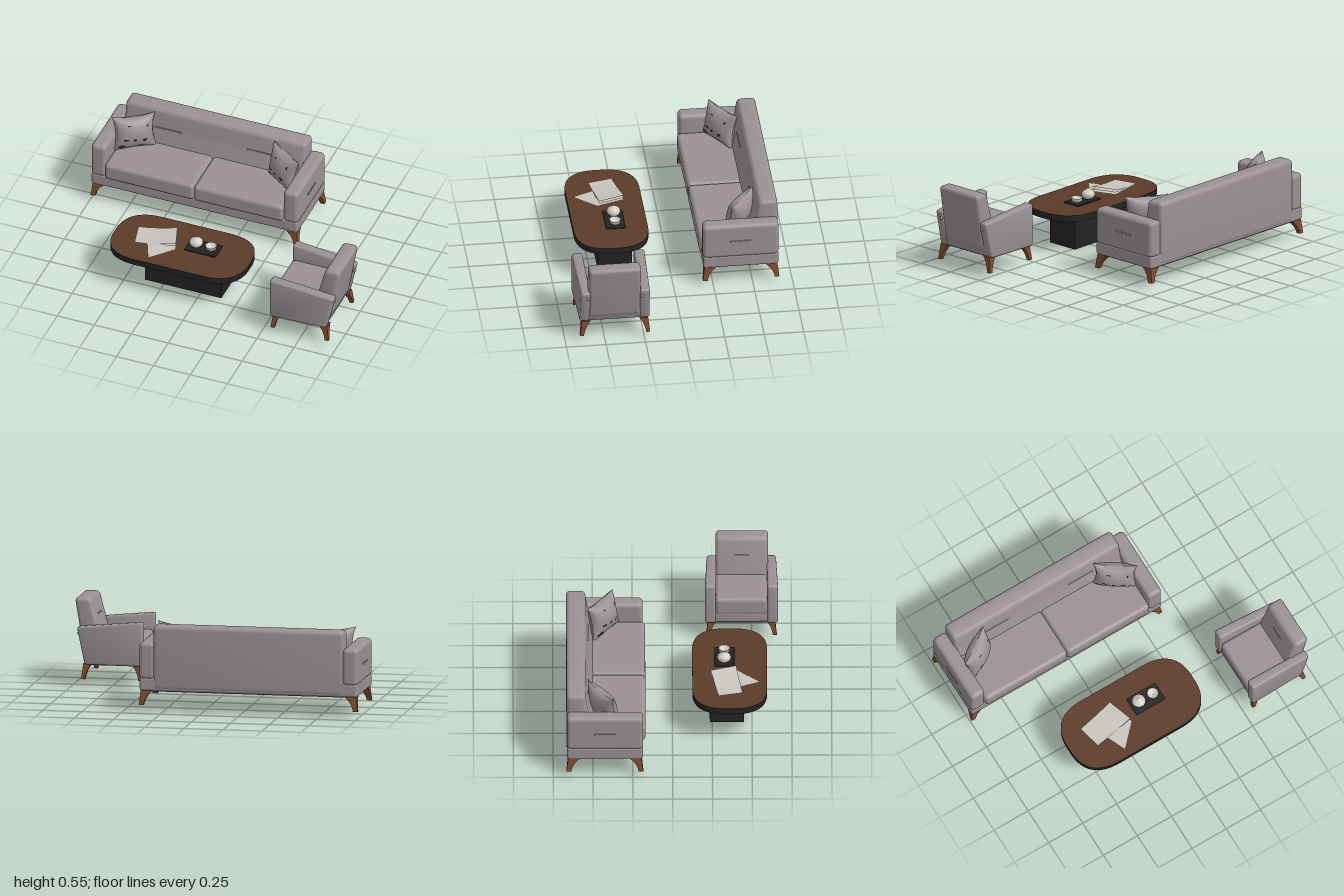
import * as THREE from 'three';
import { toCreasedNormals } from 'three/addons/utils/BufferGeometryUtils.js';
import { RoundedBoxGeometry } from 'three/addons/geometries/RoundedBoxGeometry.js';

const flat = (name, color, side = THREE.FrontSide) => {
  const m = new THREE.MeshStandardMaterial({ color, side });
  m.name = name;
  return m;
};
const fabric = flat('grey fabric', 0x9a9195);
const lining = flat('underside lining', 0x62605f);
const legWood = flat('leg wood', 0x7d4c2e);
const tableWood = flat('table wood', 0x5c3b28);
const black = flat('black', 0x232323);
const paper = flat('paper', 0xc9c5be, THREE.DoubleSide);
const ceramic = flat('ceramic', 0xd3cec5, THREE.DoubleSide);

function add(parent, name, geometry, material, x = 0, y = 0, z = 0) {
  const mesh = new THREE.Mesh(geometry, material);
  mesh.name = name;
  mesh.position.set(x, y, z);
  parent.add(mesh);
}

// Rounded box given by its extents
function block(parent, name, [x0, x1], [y0, y1], [z0, z1], r, material = fabric) {
  const g = new RoundedBoxGeometry(x1 - x0, y1 - y0, z1 - z0, 4, r);
  add(parent, name, g, material, (x0 + x1) / 2, (y0 + y1) / 2, (z0 + z1) / 2);
}

// Side profile extruded along z from z0 to z1, with softened edges
function profileGeometry(points, z0, z1, bevel, corner) {
  const pts = points.map(p => new THREE.Vector2(...p));
  const shape = new THREE.Shape();
  pts.forEach((p, i) => {
    const prev = pts.at(i - 1), next = pts[(i + 1) % pts.length];
    const a = prev.clone().sub(p).setLength(corner).add(p);
    const b = next.clone().sub(p).setLength(corner).add(p);
    if (i) shape.lineTo(a.x, a.y);
    else shape.moveTo(a.x, a.y);
    shape.quadraticCurveTo(p.x, p.y, b.x, b.y);
  });
  shape.closePath();
  const g = new THREE.ExtrudeGeometry(shape, {
    depth: z1 - z0 - 2 * bevel, bevelThickness: bevel, bevelSize: bevel,
    bevelOffset: -bevel, bevelSegments: 4, curveSegments: 6,
  });
  g.translate(0, 0, z0 + bevel);
  return toCreasedNormals(g, 0.7);
}

// Curved, tapering leg whose outer corner sits at (x, z); sx, sz point inward
function leg(parent, name, x, z, sx, sz, topSize, footSize) {
  const g = new THREE.BoxGeometry(1, 0.1, 1, 1, 8, 1);
  const p = g.attributes.position;
  for (let i = 0; i < p.count; i++) {
    const t = THREE.MathUtils.clamp(p.getY(i) / 0.1 + 0.5, 0, 1);
    const w = footSize + (topSize - footSize) * t ** 2.2;
    p.setX(i, sx * (0.012 * t + w / 2) + p.getX(i) * w);
    p.setZ(i, sz * (0.012 * t + w / 2) + p.getZ(i) * w);
  }
  g.computeVertexNormals();
  add(parent, name, g, legWood, x, 0.09, z);
}

// Dark patches on the pillow front: u, v, half width, half height
const patches = [
  [-0.7, -0.75, 0.2, 0.1], [-0.05, -0.35, 0.1, 0.09], [0.45, -0.4, 0.13, 0.08],
  [-0.5, -0.3, 0.12, 0.08], [0.25, -0.8, 0.16, 0.08], [-0.3, 0.6, 0.1, 0.05],
  [0.65, 0.45, 0.06, 0.1],
];
const isDark = (u, v) => patches.some(([a, b, w, h]) => ((u - a) / w) ** 2 + ((v - b) / h) ** 2 < 1);

// Plump half of a throw pillow with pinched edges
function pillowHalf() {
  const g = new THREE.PlaneGeometry(2, 2, 32, 32);
  const p = g.attributes.position;
  const plain = [], dark = [];
  for (let i = 0; i < g.index.count; i += 6) {
    const quad = Array.from(g.index.array.slice(i, i + 6));
    const u = quad.reduce((s, k) => s + p.getX(k), 0) / 6;
    const v = quad.reduce((s, k) => s + p.getY(k), 0) / 6;
    (isDark(u, v) ? dark : plain).push(...quad);
  }
  for (let i = 0; i < p.count; i++) {
    const u = p.getX(i), v = p.getY(i);
    const puff = Math.sqrt(Math.max(0, (1 - u * u) * (1 - v * v)));
    p.setXYZ(i, 0.14 * u * (1 - 0.14 * (1 - v * v)), 0.118 * v * (1 - 0.14 * (1 - u * u)), 0.065 * puff);
  }
  g.setIndex([...plain, ...dark]);
  g.addGroup(0, plain.length, 0);
  g.addGroup(plain.length, dark.length, 1);
  g.computeVertexNormals();
  return g;
}

function buildSofa() {
  const sofa = new THREE.Group();
  sofa.name = 'sofa';
  const cx = -0.297;
  block(sofa, 'sofaBase', [-0.995, 0.4], [0.13, 0.215], [-0.663, -0.187], 0.015);
  add(sofa, 'sofaUnderside', new THREE.BoxGeometry(1.36, 0.004, 0.45), lining, cx, 0.129, -0.425);
  // Backrest, its profile leaning back
  const back = profileGeometry([[0.667, 0.135], [0.667, 0.547], [0.55, 0.547], [0.53, 0.42], [0.49, 0.28], [0.49, 0.135]],
    -0.61, 0.61, 0.025, 0.03);
  add(sofa, 'sofaBackrest', back.rotateY(Math.PI / 2), fabric, cx);
  for (const s of [-1, 1]) {
    const side = s < 0 ? 'Right' : 'Left';
    // Arms with a stitched ridge outside
    const x = [cx + s * 0.7, cx + s * 0.6].sort((a, b) => a - b);
    block(sofa, 'sofaArm' + side, x, [0.2, 0.437], [-0.664, -0.185], 0.027);
    block(sofa, 'armSeam' + side, [cx + s * 0.7 - 0.004, cx + s * 0.7 + 0.004], [0.314, 0.325], [-0.49, -0.355], 0.003);
    // Seat cushions
    const c = [cx, cx + s * 0.603].sort((a, b) => a - b);
    block(sofa, 'seatCushion' + side, c, [0.2, 0.317], [-0.53, -0.17], 0.026);
    block(sofa, 'backSeam' + side, [cx + s * 0.31 - 0.09, cx + s * 0.31 + 0.09], [0.415, 0.423], [-0.535, -0.526], 0.003);
    for (const [end, z, sz] of [['Front', -0.184, -1], ['Back', -0.667, 1]]) {
      leg(sofa, `sofaLeg${end}${side}`, cx + s * 0.7, z, -s, sz, 0.085, 0.03);
    }
    // Throw pillows turned in from the corners
    const pillow = new THREE.Group();
    pillow.name = 'throwPillow' + side;
    add(pillow, 'pillowFront', pillowHalf(), [fabric, black]);
    add(pillow, 'pillowBack', pillowHalf().rotateY(Math.PI), fabric);
    pillow.position.set(cx + s * 0.505, 0.42, -0.435);
    pillow.rotation.set(-0.2, -s * 0.6, 0, 'YXZ');
    sofa.add(pillow);
  }
  return sofa;
}

function buildArmchair() {
  const chair = new THREE.Group();
  chair.name = 'armchair';
  const cz = 0.436;
  add(chair, 'chairBase', profileGeometry([[0.56, 0.133], [0.92, 0.133], [0.94, 0.22], [0.56, 0.22]], 0.24, 0.63, 0.01, 0.015), fabric);
  block(chair, 'chairSeat', [0.553, 0.87], [0.19, 0.31], [0.272, 0.6], 0.025);
  add(chair, 'chairUnderside', new THREE.BoxGeometry(0.34, 0.004, 0.4), lining, 0.735, 0.131, cz);
  // Tilted backrest with a stitched ridge on its front
  const back = profileGeometry([[0.80, 0.165], [0.935, 0.165], [1.0, 0.547], [0.9, 0.547]], 0.275, 0.604, 0.022, 0.03);
  add(chair, 'chairBackrest', back, fabric);
  block(chair, 'chairBackSeam', [0.867, 0.878], [0.43, 0.438], [0.39, 0.48], 0.003);
  for (const s of [-1, 1]) {
    const side = s < 0 ? 'Left' : 'Right';
    // Arms slope down and taper inward toward the back
    const arm = profileGeometry([[0.55, 0.13], [0.925, 0.133], [0.976, 0.37], [0.55, 0.411]], -0.034, 0.034, 0.015, 0.02);
    const p = arm.attributes.position;
    for (let i = 0; i < p.count; i++) {
      const t = Math.max(0, (p.getX(i) - 0.72) / 0.255);
      p.setZ(i, p.getZ(i) * (1 - 0.12 * t) - s * 0.01 * t * t);
    }
    add(chair, 'chairArm' + side, toCreasedNormals(arm, 0.7), fabric, 0, 0, cz + s * 0.196);
    add(chair, 'armKnob' + side, new THREE.SphereGeometry(0.011, 12, 8), fabric, 0.967, 0.325, cz + s * 0.172);
    for (const [end, x, sx] of [['Front', 0.555, 1], ['Back', 0.945, -1]]) {
      leg(chair, `chairLeg${end}${side}`, x, cz + s * 0.222, sx, -s, 0.055, 0.025);
    }
  }
  return chair;
}

// Four-cornered sheet of paper, one end gently lifted
function sheet(parent, name, [a, b, c, d], y, lift) {
  const g = new THREE.PlaneGeometry(1, 1, 10, 1);
  const p = g.attributes.position;
  const mix = THREE.MathUtils.lerp;
  for (let i = 0; i < p.count; i++) {
    const u = p.getX(i) + 0.5, v = 0.5 - p.getY(i);
    p.setXYZ(i, mix(mix(a[0], b[0], u), mix(d[0], c[0], u), v), y + lift * u * u, mix(mix(a[1], b[1], u), mix(d[1], c[1], u), v));
  }
  g.computeVertexNormals();
  add(parent, name, g, paper);
}

function buildTable() {
  const table = new THREE.Group();
  table.name = 'coffeeTable';
  // Soft-cornered top: wooden faces, black edge
  const a = 0.457, b = 0.235, rx = 0.23, rz = 0.2;
  const s = new THREE.Shape();
  s.moveTo(-a + rx, -b).lineTo(a - rx, -b);
  s.quadraticCurveTo(a - 0.01, -b, a, -b + rz).lineTo(a, b - rz);
  s.quadraticCurveTo(a - 0.01, b, a - rx, b).lineTo(-a + rx, b);
  s.quadraticCurveTo(-a + 0.01, b, -a, b - rz).lineTo(-a, -b + rz);
  s.quadraticCurveTo(-a + 0.01, -b, -a + rx, -b);
  const top = new THREE.ExtrudeGeometry(s, { depth: 0.042, bevelEnabled: false, curveSegments: 20 });
  add(table, 'tableTop', top.rotateX(-Math.PI / 2), [tableWood, black], -0.158, 0.218, 0.36);
  add(table, 'tableBase', new THREE.BoxGeometry(0.515, 0.218, 0.215), black, -0.118, 0.109, 0.342);
  // Tray, pot and cup
  block(table, 'tray', [-0.135, 0.076], [0.258, 0.268], [0.265, 0.39], 0.004, black);
  const lathe = pts => new THREE.LatheGeometry(pts.map(p => new THREE.Vector2(...p)), 28);
  add(table, 'pot', lathe([[0, 0], [0.025, 0], [0.038, 0.012], [0.044, 0.028], [0.04, 0.042], [0.028, 0.053],
    [0.012, 0.059], [0.008, 0.066], [0, 0.068]]), ceramic, -0.08, 0.266, 0.325);
  add(table, 'cup', lathe([[0, 0], [0.022, 0], [0.034, 0.012], [0.038, 0.03], [0.034, 0.03], [0.029, 0.013], [0, 0.008]]),
    ceramic, 0.022, 0.266, 0.327);
  // Magazine and loose sheet
  sheet(table, 'looseSheet', [[-0.37, 0.42], [-0.19, 0.39], [-0.185, 0.41], [-0.315, 0.545]], 0.264, 0.004);
  const cover = [[-0.485, 0.29], [-0.24, 0.24], [-0.187, 0.4], [-0.45, 0.44]];
  [0, 0.012, 0.026].forEach((lift, i) => sheet(table, 'magazinePage' + (i + 1), cover, 0.27 + i * 0.003, lift));
  return table;
}

export function createModel() {
  const model = new THREE.Group();
  model.name = 'livingRoomSet';
  model.add(buildSofa(), buildArmchair(), buildTable());
  return model;
}
